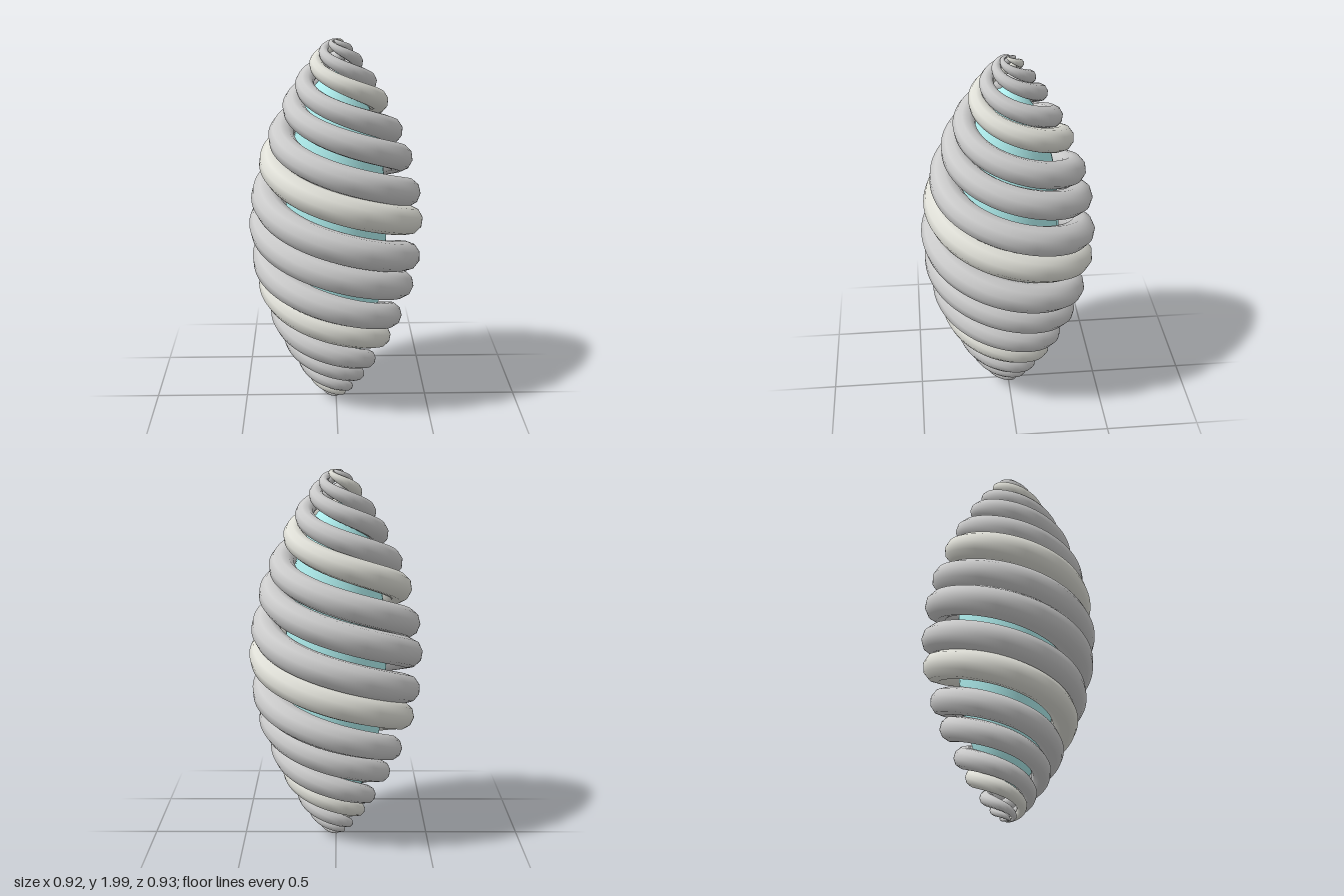
import * as THREE from 'three';

const TURNS = 4.33;
const SEGMENTS = 420;
const SIDES = 10;

// Spiral running down a pointed spindle; t = 0 at the top, 1 at the bottom.
class SpindleSpiral extends THREE.Curve {
  constructor(phase) {
    super();
    this.phase = phase;
    this.arcLengthDivisions = 1500;
  }
  getPoint(t, target = new THREE.Vector3()) {
    const angle = this.phase - 2 * Math.PI * TURNS * t;
    const s = Math.max(0, Math.sin(Math.PI * t));
    const r = 0.003 + 0.38 * Math.pow(s, 2.5) + 0.19 * s * (1 - s);
    return target.set(r * Math.cos(angle), 1 + 0.993 * Math.cos(Math.PI * t), r * Math.sin(angle));
  }
}

// Tube of unit radius whose rings are shrunk so it tapers to both tips.
function taperedTube(path) {
  const geometry = new THREE.TubeGeometry(path, SEGMENTS, 1, SIDES, false);
  const pos = geometry.attributes.position;
  const v = new THREE.Vector3();
  for (let ring = 0; ring <= SEGMENTS; ring++) {
    const u = ring / SEGMENTS;
    const centre = path.getPointAt(u);
    const s = Math.max(0, Math.sin(Math.PI * path.getUtoTmapping(u)));
    const radius = 0.003 + 0.077 * Math.pow(s, 1.15);
    for (let j = 0; j <= SIDES; j++) {
      const i = ring * (SIDES + 1) + j;
      v.fromBufferAttribute(pos, i).sub(centre).multiplyScalar(radius).add(centre);
      pos.setXYZ(i, v.x, v.y, v.z);
    }
  }
  return geometry;
}

export function createModel() {
  const group = new THREE.Group();
  group.name = 'spiralSpindle';

  const grey = new THREE.MeshStandardMaterial({ color: 0xcccccc, side: THREE.DoubleSide });
  const cream = new THREE.MeshStandardMaterial({ color: 0xe0e0d8, side: THREE.DoubleSide });
  const teal = new THREE.MeshStandardMaterial({ color: 0xafeeee });

  // Four interleaved strands, slightly unevenly spaced, the first one cream
  const firstPhase = Math.PI + 2 * Math.PI * TURNS * 0.374;
  [0, 0.28, 0.51, 0.785].forEach((offset, k) => {
    const path = new SpindleSpiral(firstPhase + offset * 2 * Math.PI);
    const strand = new THREE.Mesh(taperedTube(path), k === 0 ? cream : grey);
    strand.name = k === 0 ? 'creamStrand' : 'greyStrand' + k;
    group.add(strand);
  });

  // Slim core showing through the gaps
  const core = new THREE.Mesh(new THREE.SphereGeometry(1, 32, 24), teal);
  core.name = 'core';
  core.scale.set(0.27, 0.83, 0.27);
  core.position.y = 1;
  group.add(core);

  return group;
}
